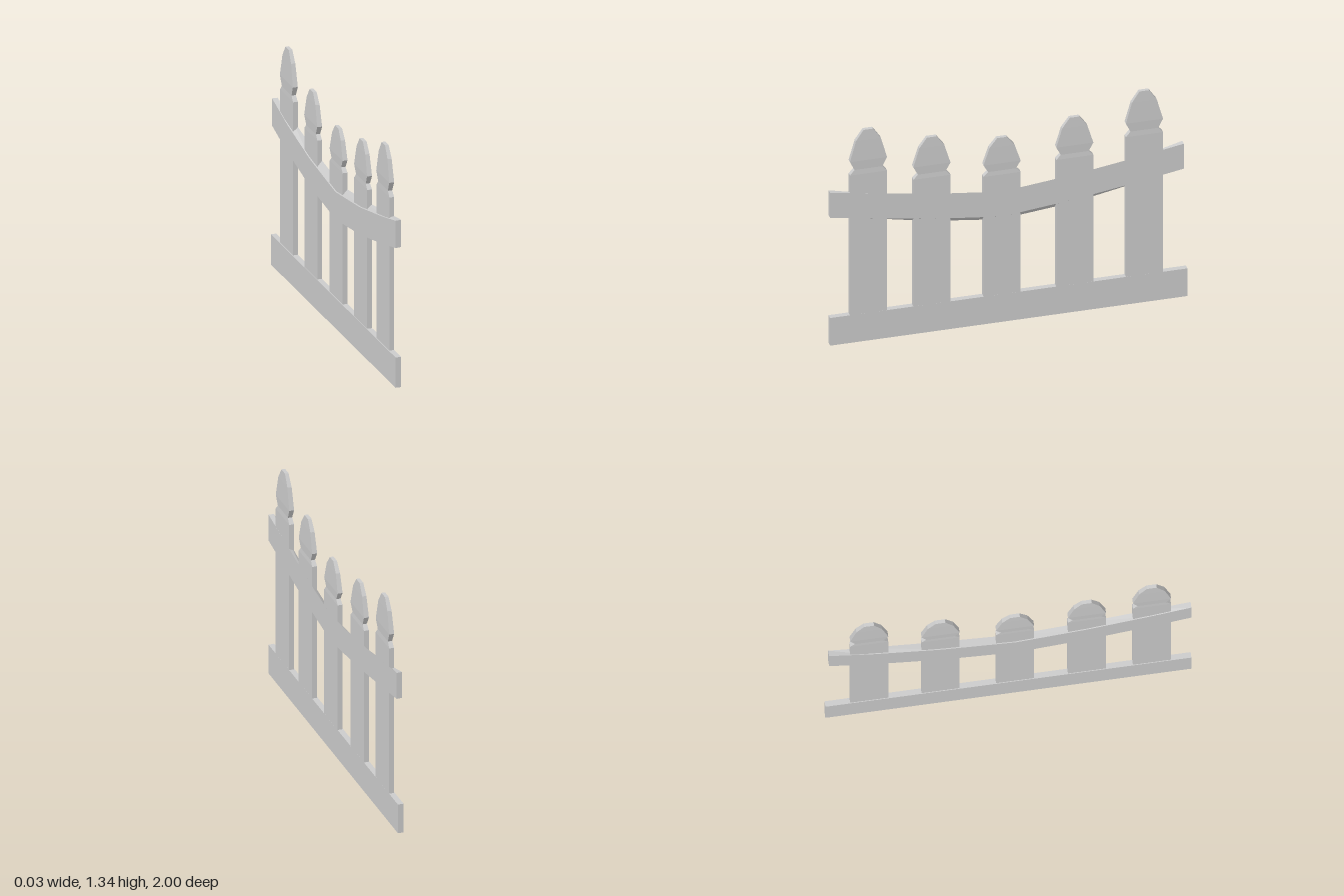
import * as THREE from 'three';

const FRONT = 0.016, BACK = -0.016;
const material = new THREE.MeshStandardMaterial({ color: 0xcccccc, flatShading: true });

// Skins a row of four-cornered rings (counter-clockwise seen from the last ring) and caps both ends.
function loft(name, rings) {
  const pos = [];
  const quad = (a, b, c, d) => pos.push(...a, ...b, ...c, ...a, ...c, ...d);
  for (let i = 0; i < rings.length - 1; i++) {
    for (let j = 0; j < 4; j++) {
      const k = (j + 1) % 4;
      quad(rings[i][j], rings[i][k], rings[i + 1][k], rings[i + 1][j]);
    }
  }
  const [a, b, c, d] = rings[0];
  quad(d, c, b, a);
  quad(...rings[rings.length - 1]);
  const geometry = new THREE.BufferGeometry();
  geometry.setAttribute('position', new THREE.Float32BufferAttribute(pos, 3));
  geometry.computeVertexNormals();
  const mesh = new THREE.Mesh(geometry, material);
  mesh.name = name;
  return mesh;
}

// Picket: straight board, pinched neck and a tapering pointed head.
function picket(z, top, headScale) {
  // [distance below top, half width, back x, front x]
  const head = [
    [0.275, 0.104, -0.012, 0.0157],
    [0.245, 0.078, -0.011, 0.0135],
    [0.19, 0.104, -0.013, 0.0157],
    [0.065, 0.07, -0.011, 0.0135],
    [0, 0.027, -0.009, 0.0115],
  ].map(([drop, ...rest]) => [top - drop * headScale, ...rest]);
  const rows = [[0.005, 0.104, -0.012, 0.0157], ...head];
  return loft('picket', rows.map(([y, h, back, front]) => [
    [back, y, z - h], [back, y, z + h], [front, y, z + h], [front, y, z - h],
  ]));
}

export function createModel() {
  const fence = new THREE.Group();
  fence.name = 'picketFence';

  // Bottom rail
  const bottomRail = new THREE.Mesh(new THREE.BoxGeometry(FRONT - BACK, 0.175, 2), material);
  bottomRail.name = 'bottomRail';
  bottomRail.position.y = 0.0875;
  fence.add(bottomRail);

  // Sagging top rail: [z, top height, extra sag on the back face]
  const stations = [
    [-0.98, 0.968, 0], [-0.76, 0.93, 0.022], [-0.37, 0.87, 0.038], [0.037, 0.825, 0.036],
    [0.43, 0.872, 0.032], [0.785, 0.932, 0.018], [1, 0.968, 0.002],
  ];
  fence.add(loft('topRail', stations.map(([z, top, sag]) => {
    const bottom = top - 0.158;
    return [[BACK, bottom - sag, z], [FRONT, bottom, z], [FRONT, top, z], [BACK, top - sag, z]];
  })));

  // Pickets, lowest in the middle
  const pickets = [
    [0.785, 1.335, 1], [0.43, 1.23, 0.92], [0.037, 1.165, 0.84], [-0.37, 1.23, 0.92], [-0.76, 1.335, 1],
  ];
  for (const p of pickets) fence.add(picket(...p));

  return fence;
}
